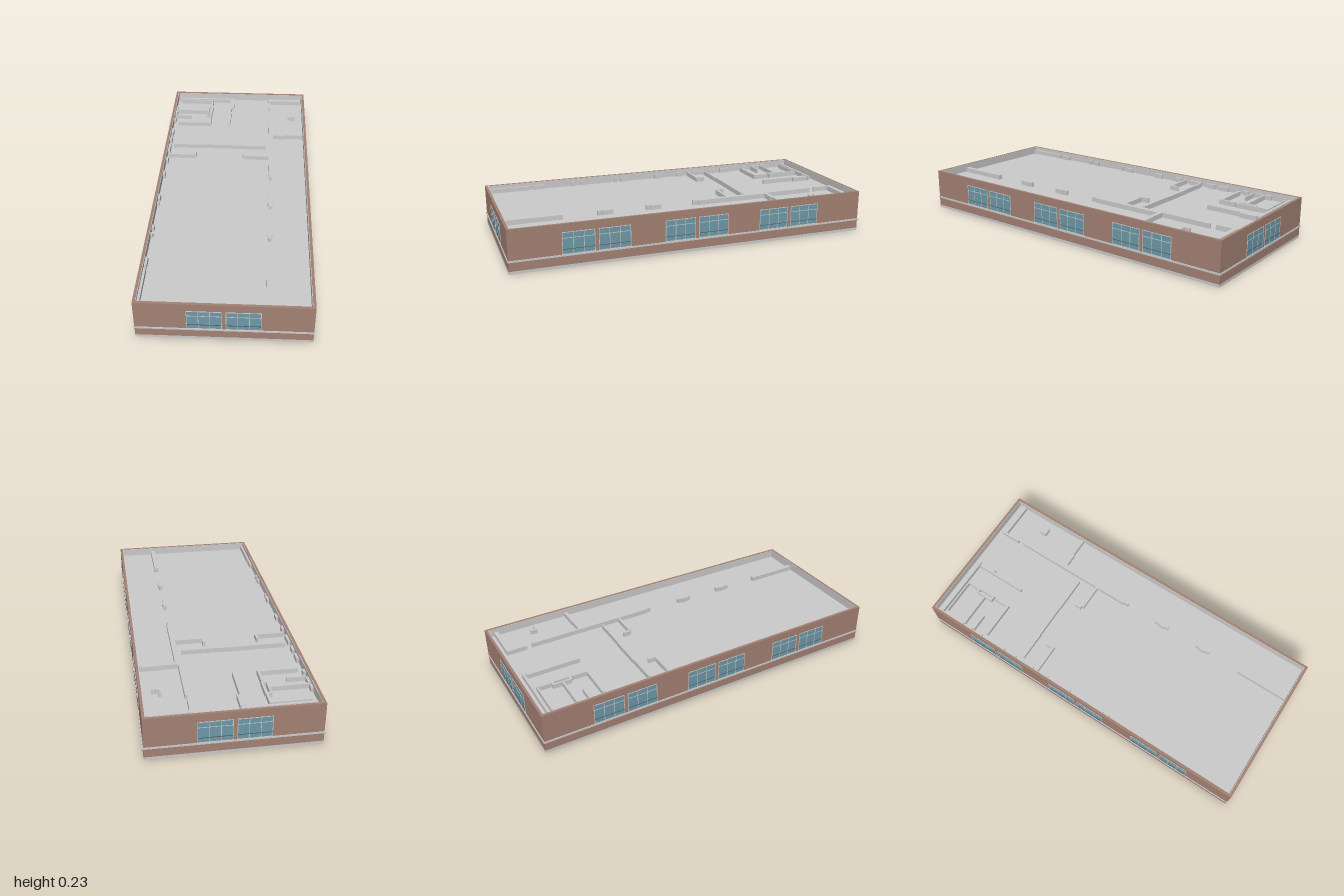
import * as THREE from 'three';

const HX = 0.432, HZ = 0.996, TOP = 0.232, ROOF = 0.187;
const mat = (color) => new THREE.MeshStandardMaterial({ color });
const grey = mat(0xcccccc), brick = mat(0xa58274), glass = mat(0x6e99a9), dark = mat(0x4a5256);

// Box given by its limits on each axis
function box(name, parent, material, x0, x1, y0, y1, z0, z1) {
  const m = new THREE.Mesh(new THREE.BoxGeometry(x1 - x0, y1 - y0, z1 - z0), material);
  m.position.set((x0 + x1) / 2, (y0 + y1) / 2, (z0 + z1) / 2);
  m.name = name;
  parent.add(m);
  return m;
}

// Rectangular wall ring, extruded upward
function ring(name, parent, material, hx, hz, t, y0, y1) {
  const rect = (P, a, b) => new P([
    new THREE.Vector2(-a, -b), new THREE.Vector2(a, -b), new THREE.Vector2(a, b), new THREE.Vector2(-a, b)]);
  const shape = rect(THREE.Shape, hx, hz);
  shape.holes.push(rect(THREE.Path, hx - t, hz - t));
  const geo = new THREE.ExtrudeGeometry(shape, { depth: y1 - y0, bevelEnabled: false });
  geo.rotateX(-Math.PI / 2);
  const m = new THREE.Mesh(geo, material);
  m.position.y = y0;
  m.name = name;
  parent.add(m);
}

// Pair of three-column windows facing +z, centred on x = 0
function windowPair() {
  const g = new THREE.Group();
  g.name = 'windowPair';
  const y0 = 0.073, y1 = 0.187, w = 0.167, f = 0.0015;
  for (const x0 of [-0.178, 0.011]) {
    const x1 = x0 + w;
    box('windowGlass', g, glass, x0, x1, y0, y1, -0.004, 0.001);
    for (let i = 0; i < 4; i++) {
      const x = x0 + (w * i) / 3;
      box('windowMullion', g, grey, x - f, x + f, y0, y1, -0.004, 0.002);
    }
    for (const y of [y0, 0.157, y1]) box('windowBar', g, grey, x0 - f, x1 + f, y - f, y + f, -0.004, 0.002);
    box('windowRail', g, dark, x0, x1, 0.0975, 0.0995, -0.004, 0.003);
  }
  return g;
}

// Low roof walls as [x0, x1, z0, z1]
const roofWalls = [
  // back left rooms
  [-0.405, -0.035, -0.95, -0.936], [-0.385, -0.175, -0.925, -0.917], [-0.187, -0.175, -0.925, -0.845],
  [-0.207, -0.172, -0.845, -0.835], [-0.207, -0.197, -0.835, -0.75], [-0.182, -0.172, -0.835, -0.75],
  [-0.207, -0.172, -0.75, -0.74], [-0.187, -0.175, -0.73, -0.636], [-0.385, -0.175, -0.65, -0.634],
  [-0.405, -0.2, -0.795, -0.785], [-0.405, -0.305, -0.728, -0.718],
  [-0.06, -0.048, -0.93, -0.634], [-0.048, -0.034, -0.93, -0.835],
  // cross wall and its returns
  [-0.385, -0.22, -0.39, -0.378], [-0.22, -0.02, -0.393, -0.38], [-0.02, 0.18, -0.39, -0.378],
  [-0.405, -0.24, -0.28, -0.267], [-0.253, -0.24, -0.32, -0.28],
  [0.04, 0.054, -0.32, -0.28], [0.054, 0.2, -0.28, -0.267],
  // back right rooms
  [0.194, 0.41, -0.95, -0.926], [0.194, 0.206, -0.926, -0.835], [0.2, 0.212, -0.805, -0.515],
  [0.2, 0.3, -0.522, -0.5], [0.3, 0.41, -0.526, -0.506],
  [0.322, 0.334, -0.765, -0.727], [0.322, 0.368, -0.737, -0.725],
  // long spine wall and piers
  [0.2, 0.226, -0.5, -0.09], [0.205, 0.221, -0.09, -0.06],
  [0.2, 0.226, 0.15, 0.19], [0.205, 0.222, 0.127, 0.213],
  [0.2, 0.226, 0.42, 0.46], [0.205, 0.222, 0.4, 0.486], [0.2, 0.226, 0.675, 0.975],
];
// Short stubs along the left parapet, as [z0, z1]
const stubs = [[-0.83, -0.795], [-0.78, -0.73], [-0.69, -0.66], [-0.56, -0.5], [-0.47, -0.42], [-0.38, -0.3],
  [-0.24, -0.2], [-0.1, -0.05], [0.13, 0.175], [0.2, 0.215], [0.4, 0.43], [0.465, 0.485], [0.655, 0.72], [0.735, 0.975]];

export function createModel() {
  const model = new THREE.Group();
  model.name = 'building';

  // Shell: plinth, brick walls, grey parapet lining, roof and ledge
  box('plinth', model, grey, -HX, HX, 0, 0.015, -HZ, HZ);
  ring('brickWalls', model, brick, HX, HZ, 0.014, 0.015, TOP);
  ring('parapetLining', model, grey, HX - 0.014, HZ - 0.014, 0.003, ROOF, TOP - 0.001);
  box('roof', model, grey, -HX + 0.013, HX - 0.013, ROOF - 0.01, ROOF, -HZ + 0.013, HZ - 0.013);
  ring('ledge', model, grey, HX + 0.004, HZ + 0.004, 0.01, 0.062, 0.071);

  // Window pairs: one at each end, three along each side
  const place = (x, z, turn) => {
    const w = windowPair();
    w.position.set(x, 0, z);
    w.rotation.y = turn;
    model.add(w);
  };
  place(0, HZ, 0);
  place(0, -HZ, Math.PI);
  for (const z of [-0.547, 0, 0.547]) {
    place(HX, z, Math.PI / 2);
    place(-HX, z, -Math.PI / 2);
  }

  // Walls standing on the roof
  const walls = new THREE.Group();
  walls.name = 'roofWalls';
  for (const [x0, x1, z0, z1] of roofWalls) box('roofWall', walls, grey, x0, x1, ROOF - 0.002, 0.213, z0, z1);
  for (const [z0, z1] of stubs) box('wallStub', walls, grey, -0.416, -0.402, ROOF - 0.002, 0.213, z0, z1);
  model.add(walls);
  return model;
}
